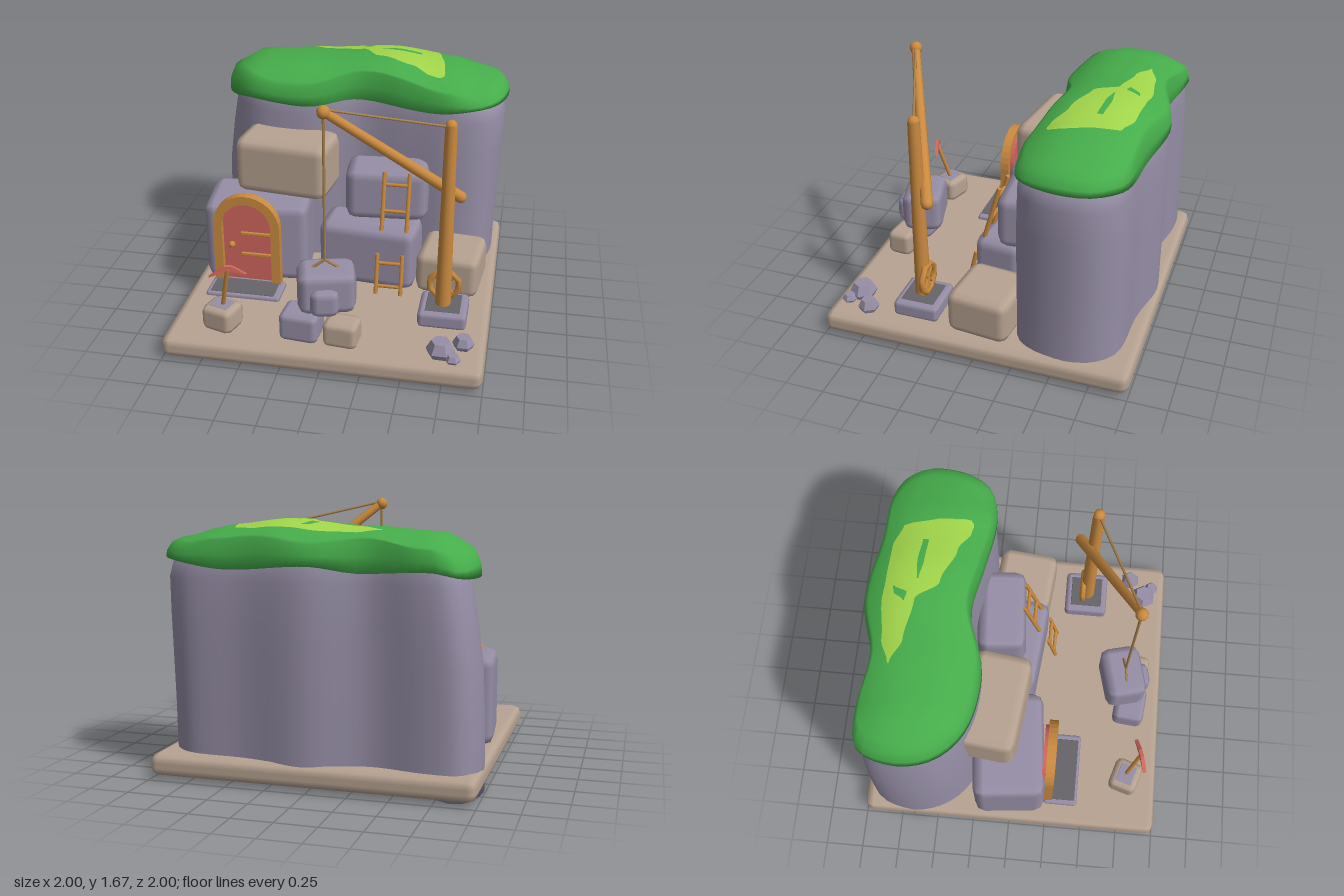
import * as THREE from 'three';
import { RoundedBoxGeometry } from 'three/addons/geometries/RoundedBoxGeometry.js';

const paint = (name, color) => new THREE.MeshStandardMaterial({ name, color });
const stone = paint('purple stone', 0x968ea6);
const tan = paint('tan stone', 0xb8a392);
const wood = paint('wood', 0xca8a3f);
const grass = paint('grass', 0x46ad4b);
const lime = paint('light grass', 0xa2d64b);
const red = paint('red paint', 0xcf655c);
const slate = paint('dark slate', 0x666469);
const rope = paint('rope', 0xa9824f);
grass.side = THREE.DoubleSide;

const V = (x, y, z) => new THREE.Vector3(x, y, z);

// Smooth lookup in a small table of [x, value...] rows
function lookup(table, x, k = 1) {
  if (x <= table[0][0]) return table[0][k];
  for (let i = 1; i < table.length; i++) {
    const a = table[i - 1], b = table[i];
    if (x <= b[0]) return THREE.MathUtils.lerp(a[k], b[k], THREE.MathUtils.smoothstep(x, a[0], b[0]));
  }
  return table[table.length - 1][k];
}

// Surface through rows of points; closed rows wrap around
function grid(rows, closed) {
  const n = rows[0].length, index = [];
  for (let j = 0; j < rows.length - 1; j++) {
    for (let i = 0; i < (closed ? n : n - 1); i++) {
      const a = j * n + i, b = j * n + (i + 1) % n, c = a + n, d = b + n;
      index.push(a, c, b, b, c, d);
    }
  }
  const g = new THREE.BufferGeometry().setFromPoints(rows.flat());
  g.setIndex(index);
  g.computeVertexNormals();
  return g;
}

// Cliff footprint, clockwise from above
const CZ = -0.59;
const footprint = new THREE.CatmullRomCurve3([
  [-0.87, -0.91], [-0.68, -0.93], [-0.35, -0.88], [0.02, -0.97], [0.42, -0.91], [0.84, -0.87],
  [0.98, -0.72], [0.99, -0.47], [0.9, -0.28], [0.7, -0.215], [0.36, -0.26], [0.02, -0.31],
  [-0.33, -0.21], [-0.72, -0.27], [-0.9, -0.45], [-0.95, -0.68],
].map(([x, z]) => V(x, 0, z)), true).getSpacedPoints(72).slice(0, 72);

const ridge = [[-0.95, 1.4], [-0.7, 1.51], [-0.3, 1.535], [0.2, 1.57], [0.6, 1.53], [0.85, 1.47], [1, 1.42]];
const hem = [[-0.95, 1.26], [-0.7, 1.3], [-0.3, 1.28], [0, 1.32], [0.5, 1.285], [1, 1.34]];
const turfTop = (x, z) => lookup(ridge, x) - 0.12 * Math.pow(Math.abs((z - CZ) / 0.37), 2.5);
const ring = (t, y) => footprint.map(p => {
  const x = p.x * t, z = CZ + (p.z - CZ) * t;
  return V(x, y(x, z), z);
});

// Thin patch lying on the turf; columns are [x, back z, front z]
function turfPatch(cols, lift) {
  const x0 = cols[0][0], x1 = cols[cols.length - 1][0], rows = [];
  for (let j = 0; j <= 8; j++) {
    const row = [];
    for (let i = 0; i <= 48; i++) {
      const x = x0 + (x1 - x0) * i / 48;
      const z = THREE.MathUtils.lerp(lookup(cols, x, 1), lookup(cols, x, 2), j / 8);
      row.push(V(x, turfTop(x, z) + lift, z));
    }
    rows.push(row);
  }
  return grid(rows, false);
}

export function createModel() {
  const model = new THREE.Group();
  model.name = 'quarryEntrance';
  const add = (name, geometry, material, x = 0, y = 0, z = 0, ry = 0) => {
    const m = new THREE.Mesh(geometry, material);
    m.name = name;
    m.position.set(x, y, z);
    m.rotation.y = ry;
    model.add(m);
    return m;
  };
  const block = (name, mat, x, y, z, w, h, d, ry = 0, r = 0.06) =>
    add(name, new RoundedBoxGeometry(w, h, d, 1, r), mat, x, y, z, ry);
  const rod = (name, mat, a, b, r, sides = 8, r2 = r) => {
    const dir = b.clone().sub(a), mid = a.clone().add(b).multiplyScalar(0.5);
    const m = add(name, new THREE.CylinderGeometry(r2, r, dir.length(), sides), mat, mid.x, mid.y, mid.z);
    m.quaternion.setFromUnitVectors(V(0, 1, 0), dir.normalize());
    return m;
  };
  const plate = (name, mat, shape, depth, x, y, z, ry = 0) =>
    add(name, new THREE.ExtrudeGeometry(shape, { depth, bevelEnabled: false, curveSegments: 8 }), mat, x, y, z, ry);

  // Ground slab
  block('groundSlab', tan, 0, 0.092, 0, 2, 0.14, 2, 0, 0.055);

  // Cliff: [height, left stretch, right stretch, depth stretch]
  const levels = [[0.16, 1.04, 0.95, 1], [0.45, 1.035, 0.955, 1], [0.75, 1.02, 0.965, 1],
    [1.0, 0.985, 0.975, 0.99], [1.22, 0.945, 0.98, 0.97], [1.34, 0.91, 0.95, 0.92], [1.39, 0.8, 0.8, 0.8]];
  const cliffRing = ([y, l, r, d], sink) => footprint.map(p =>
    V(p.x * (p.x < 0 ? l : r), sink ? (p.x < -0.8 ? 0 : 0.05) : y, CZ + (p.z - CZ) * d));
  add('cliff', grid([footprint.map(() => V(0, 0.05, CZ)), cliffRing(levels[0], true),
    ...levels.map(l => cliffRing(l, false))], true), stone);

  // Grass cap with a drooping hem
  const cap = [ring(0.92, x => lookup(hem, x) + 0.03), ring(1, x => lookup(hem, x)),
    ring(0.995, (x, z) => (lookup(hem, x) + turfTop(x, z)) / 2)];
  for (const t of [0.96, 0.9, 0.8, 0.7, 0.6, 0.5, 0.4, 0.3, 0.2, 0.1, 0]) cap.push(ring(t, turfTop));
  add('grassCap', grid(cap, true), grass);
  add('lightGrassPatch', turfPatch([[-0.4, -0.755, -0.745], [-0.25, -0.81, -0.68], [0, -0.84, -0.64],
    [0.12, -0.83, -0.5], [0.35, -0.82, -0.42], [0.5, -0.77, -0.35], [0.55, -0.6, -0.34], [0.58, -0.4, -0.36]], 0.006), lime);
  add('grassGapLong', turfPatch([[0.13, -0.64, -0.63], [0.25, -0.65, -0.61], [0.4, -0.635, -0.6]], 0.009), grass);
  add('grassGapShort', turfPatch([[-0.01, -0.71, -0.7], [0.04, -0.77, -0.69], [0.08, -0.78, -0.77]], 0.009), grass);

  // Boulders stacked against the cliff
  block('doorBoulder', stone, -0.605, 0.435, -0.03, 0.7, 0.57, 0.47, 0.1, 0.07);
  block('upperTanBoulder', tan, -0.43, 0.915, -0.13, 0.64, 0.39, 0.38, -0.12, 0.07);
  block('upperBoulder', stone, 0.25, 0.765, -0.15, 0.55, 0.365, 0.32, 0.08, 0.07);
  block('lowerBoulder', stone, 0.16, 0.365, -0.03, 0.66, 0.44, 0.33, -0.1, 0.07);
  block('rightTanBoulder', tan, 0.71, 0.295, -0.03, 0.42, 0.29, 0.41, -0.1, 0.06);

  // Hoisted stone and the blocks below it
  block('hoistedStone', stone, 0, 0.48, 0.7, 0.36, 0.28, 0.27, 0.25, 0.06);
  block('hoistedStoneKnob', stone, 0.01, 0.44, 0.8, 0.18, 0.18, 0.17, 0.2, 0.05);
  block('looseStone', stone, -0.14, 0.25, 0.78, 0.25, 0.19, 0.21, -0.1, 0.04);
  block('looseTanStone', tan, 0.12, 0.235, 0.81, 0.22, 0.17, 0.17, -0.1, 0.04);
  block('pickStone', tan, -0.65, 0.24, 0.78, 0.21, 0.165, 0.19, -0.3, 0.04);
  block('pickStoneTop', stone, -0.65, 0.321, 0.78, 0.13, 0.009, 0.11, -0.3, 0.004);

  // Pebbles
  for (const [x, z, r, h] of [[0.73, 0.84, 0.09, 0.1], [0.86, 0.74, 0.068, 0.08], [0.81, 0.9, 0.05, 0.05]]) {
    const g = new THREE.LatheGeometry([[0, 0], [r * 0.8, 0], [r, h * 0.4], [r * 0.65, h], [0, h]]
      .map(([a, b]) => new THREE.Vector2(a, b)), 6).toNonIndexed();
    g.computeVertexNormals();
    add('pebble', g, stone, x, 0.158, z, 0.5);
  }

  // Door step
  block('doorStep', stone, -0.62, 0.165, 0.345, 0.5, 0.05, 0.23, 0, 0.02);
  block('doorStepTop', slate, -0.625, 0.19, 0.355, 0.43, 0.009, 0.175, 0, 0.004);

  // Arched door and frame
  const arch = (S, r, y0) => {
    const s = new S();
    s.moveTo(-r, y0);
    s.lineTo(r, y0);
    s.lineTo(r, 0.6);
    s.absarc(0, 0.6, r, 0, Math.PI, false);
    s.lineTo(-r, y0);
    return s;
  };
  const frame = new THREE.Shape();
  frame.moveTo(0.165, 0.17);
  frame.lineTo(0.225, 0.17);
  frame.lineTo(0.225, 0.6);
  frame.absarc(0, 0.6, 0.225, 0, Math.PI, false);
  frame.lineTo(-0.225, 0.17);
  frame.lineTo(-0.165, 0.17);
  frame.lineTo(-0.165, 0.6);
  frame.absarc(0, 0.6, 0.165, Math.PI, 0, true);
  frame.lineTo(0.165, 0.17);
  plate('doorFrame', wood, frame, 0.06, -0.625, 0, 0.228);
  plate('door', red, arch(THREE.Shape, 0.19, 0.17), 0.045, -0.625, 0, 0.205);
  for (const y of [0.54, 0.385]) block('doorHinge', wood, -0.565, y, 0.257, 0.21, 0.022, 0.02, 0, 0.005);
  add('doorKnob', new THREE.SphereGeometry(0.023, 10, 8), wood, -0.73, 0.455, 0.27);

  // Pickaxe
  rod('pickHandle', wood, V(-0.645, 0.31, 0.78), V(-0.58, 0.62, 0.85), 0.014);
  const head = new THREE.Shape([[-0.115, -0.06], [0, -0.025], [0.115, -0.055], [0.03, 0.005], [-0.02, 0.01]]
    .map(([x, y]) => new THREE.Vector2(x, y)));
  plate('pickHead', red, head, 0.024, -0.585, 0.632, 0.835, 0.3);

  // Crane pedestal, post and boom
  block('cranePedestal', stone, 0.705, 0.205, 0.42, 0.31, 0.11, 0.3, 0, 0.03);
  block('pedestalTop', slate, 0.705, 0.259, 0.42, 0.22, 0.009, 0.22, 0, 0.004);
  rod('cranePost', wood, V(0.7, 0.25, 0.425), V(0.7, 1.49, 0.425), 0.05, 12, 0.037);
  add('postCap', new THREE.SphereGeometry(0.037, 12, 6), wood, 0.7, 1.483, 0.425);
  rod('craneBoom', wood, V(0.77, 0.98, 0.335), V(0, 1.63, 0.71), 0.038, 10, 0.028);
  add('boomFoot', new THREE.SphereGeometry(0.038, 10, 8), wood, 0.77, 0.98, 0.335);
  add('boomTip', new THREE.SphereGeometry(0.041, 10, 8), wood, -0.005, 1.63, 0.71);

  // Ropes
  rod('stayRope', rope, V(0, 1.645, 0.71), V(0.7, 1.475, 0.425), 0.008, 6);
  rod('hoistRope', rope, V(-0.005, 1.63, 0.71), V(-0.005, 0.665, 0.71), 0.009, 6);
  for (const [x, z] of [[-0.1, 0.73], [0.1, 0.69]])
    rod('slingRope', rope, V(-0.005, 0.67, 0.71), V(x, 0.6, z), 0.009, 6);

  // Winch wheel
  add('winchWheel', new THREE.TorusGeometry(0.097, 0.021, 6, 8), wood, 0.7, 0.378, 0.388, 0).rotation.z = Math.PI / 8;
  for (let i = 0; i < 2; i++) {
    const a = Math.PI / 4 + i * Math.PI / 2, c = Math.cos(a) * 0.1, s = Math.sin(a) * 0.1;
    rod('winchSpoke', wood, V(0.7 - c, 0.378 - s, 0.388), V(0.7 + c, 0.378 + s, 0.388), 0.011, 6);
  }

  // Ladders, each from a foot height and depth to a top
  const ladder = (name, xs, y0, z0, y1, z1, rungs) => {
    for (const x of xs) rod(name + 'Rail', wood, V(x, y0, z0), V(x, y1, z1), 0.015, 6);
    for (const y of rungs) {
      const z = z0 + (z1 - z0) * (y - y0) / (y1 - y0);
      rod(name + 'Rung', wood, V(xs[0] - 0.01, y, z), V(xs[1] + 0.01, y, z), 0.012, 6);
    }
  };
  ladder('upperLadder', [0.25, 0.415], 0.57, 0.105, 0.95, 0.0, [0.7, 0.87]);
  ladder('lowerLadder', [0.235, 0.4], 0.16, 0.23, 0.43, 0.17, [0.215, 0.37]);
  return model;
}
